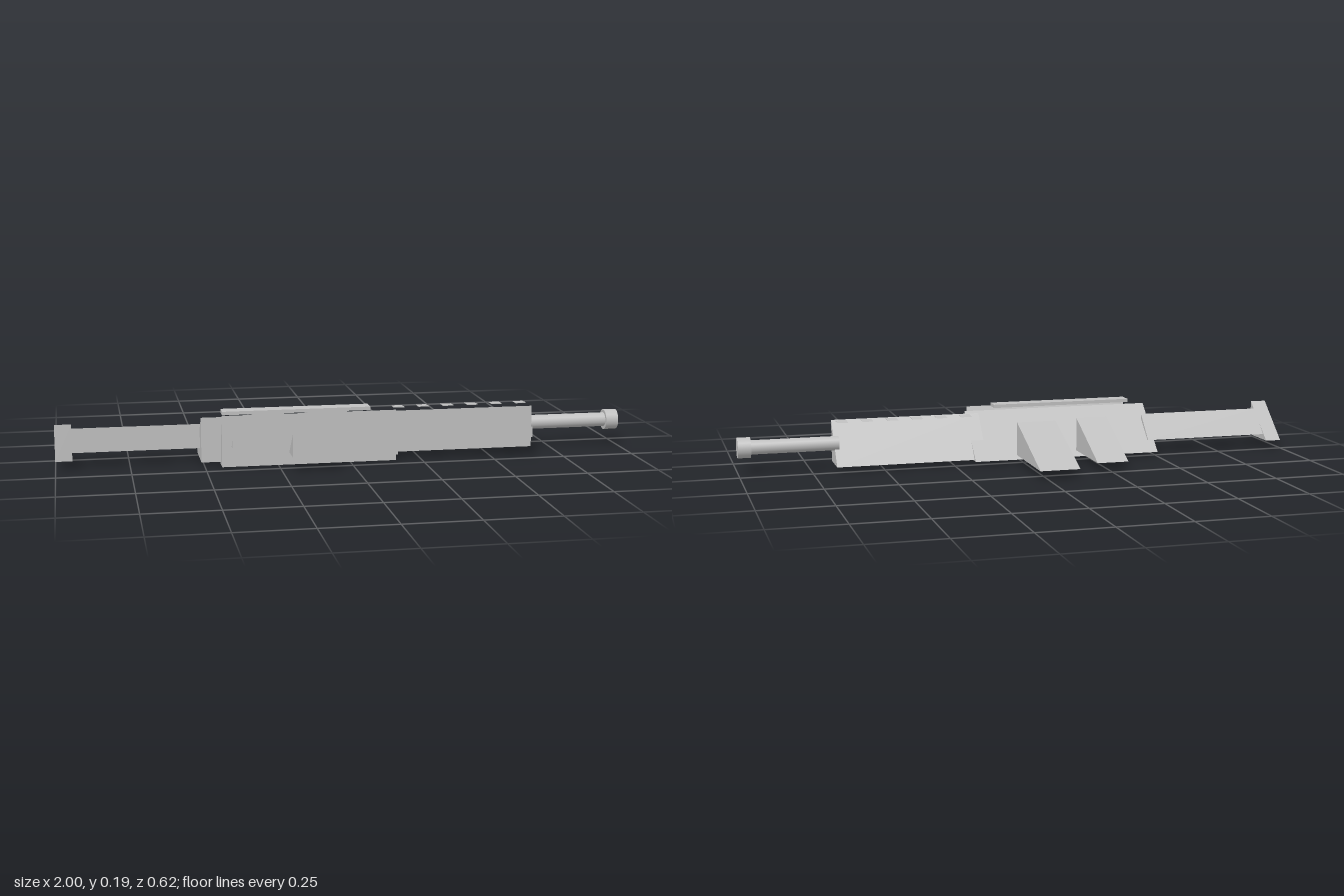
import * as THREE from 'three';

export function createModel() {
  const group = new THREE.Group();
  const grey = new THREE.MeshStandardMaterial({ color: 0xc0c0c0 });
  grey.name = 'light grey';

  const add = (name, geometry) => {
    const mesh = new THREE.Mesh(geometry, grey);
    mesh.name = name;
    group.add(mesh);
    return mesh;
  };

  // Right-angled wedge running along x: upright face at zFront, sloping down to zBack
  const wedge = (name, x0, x1, zFront, zBack, y0, y1) => {
    const shape = new THREE.Shape([
      new THREE.Vector2(-zFront, y0),
      new THREE.Vector2(-zBack, y0),
      new THREE.Vector2(-zFront, y1),
    ]);
    const geometry = new THREE.ExtrudeGeometry(shape, { depth: x1 - x0, bevelEnabled: false });
    geometry.rotateY(Math.PI / 2).translate(x0, 0, 0);
    return add(name, geometry);
  };

  // Cylinder along x, on the barrel axis
  const tube = (name, x0, x1, radius) => {
    const geometry = new THREE.CylinderGeometry(radius, radius, x1 - x0, 20);
    geometry.rotateZ(-Math.PI / 2).translate((x0 + x1) / 2, 0.09, 0.075);
    return add(name, geometry);
  };

  // Stock
  wedge('buttPlate', -1, -0.943, 0.145, 0, 0.03, 0.157);
  wedge('stock', -0.95, -0.485, 0.11, 0.03, 0.05, 0.135);

  // Body
  wedge('receiver', -0.51, 0.175, 0.162, -0.003, 0.011, 0.167);
  wedge('sidePanel', -0.443, 0.16, 0.198, 0.135, 0, 0.178);
  wedge('forend', 0.13, 0.665, 0.137, 0.015, 0.015, 0.162);

  // Flat rail floating above the body
  const rail = add('topRail', new THREE.BoxGeometry(0.512, 0.012, 0.053));
  rail.position.set(-0.184, 0.184, 0.161);

  // Side rod with its handle and front block
  wedge('sideRod', -0.41, 0.64, 0.231, 0.198, 0.07, 0.108);
  wedge('rodBlock', 0.523, 0.58, 0.227, 0.15, 0.07, 0.105);
  wedge('sideHandle', -0.217, -0.07, 0.31, 0.228, 0.05, 0.128);

  // Grip and magazine
  wedge('grip', -0.315, -0.203, 0.015, -0.23, 0.03, 0.148);
  wedge('magazine', -0.115, 0.027, -0.015, -0.308, 0.03, 0.148);

  // Barrel
  tube('barrel', 0.65, 0.96, 0.025);
  tube('muzzle', 0.955, 1, 0.036);

  // Thin vent plates above and below the forend
  for (let i = 0; i < 6; i++) {
    const x = 0.174 + i * 0.0888;
    wedge('upperVent', x, x + 0.038, 0.095, 0.052, 0.164, 0.167);
    wedge('lowerVent', x, x + 0.038, 0.095, 0.052, 0.012, 0.0155);
  }

  return group;
}
